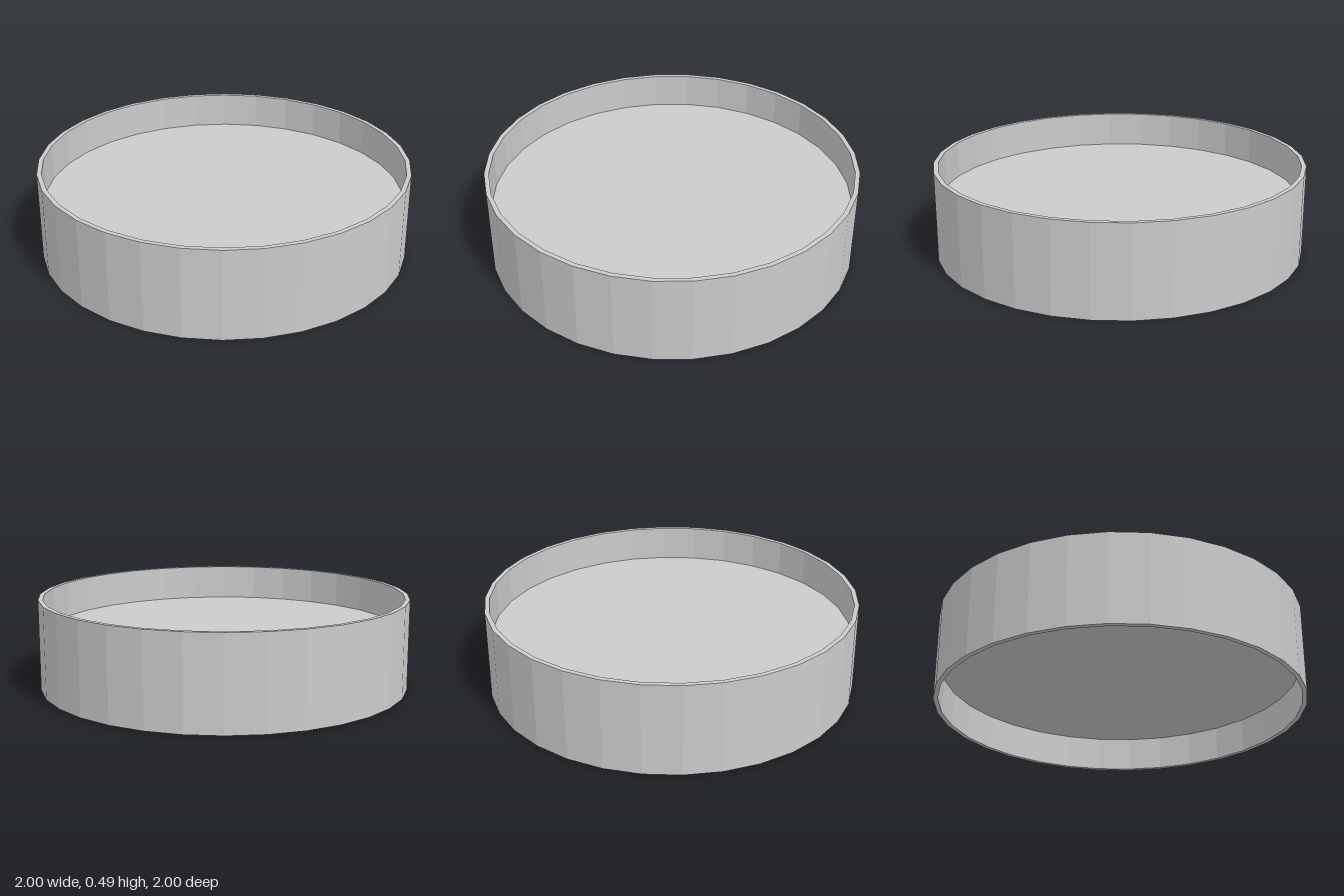
import * as THREE from 'three';

const SIDES = 32, HEIGHT = 0.49, OUTER = 1, INNER = 0.975, FLOOR = 0.1;

export function createModel() {
  const group = new THREE.Group();
  group.name = 'roundTray';
  const material = new THREE.MeshStandardMaterial({ color: 0xcccccc, flatShading: true });

  // Thin ring wall: closed rectangular profile turned about y
  const profile = [[INNER, 0], [OUTER, 0], [OUTER, HEIGHT], [INNER, HEIGHT], [INNER, 0]]
    .map(([r, y]) => new THREE.Vector2(r, y));
  const wall = new THREE.Mesh(new THREE.LatheGeometry(profile, SIDES), material);
  wall.name = 'wall';

  // Solid floor disc, set at mid height so both ends are recessed
  const floor = new THREE.Mesh(new THREE.CylinderGeometry(INNER, INNER, FLOOR, SIDES), material);
  floor.position.y = HEIGHT / 2;
  floor.name = 'floor';

  group.add(wall, floor);
  return group;
}
